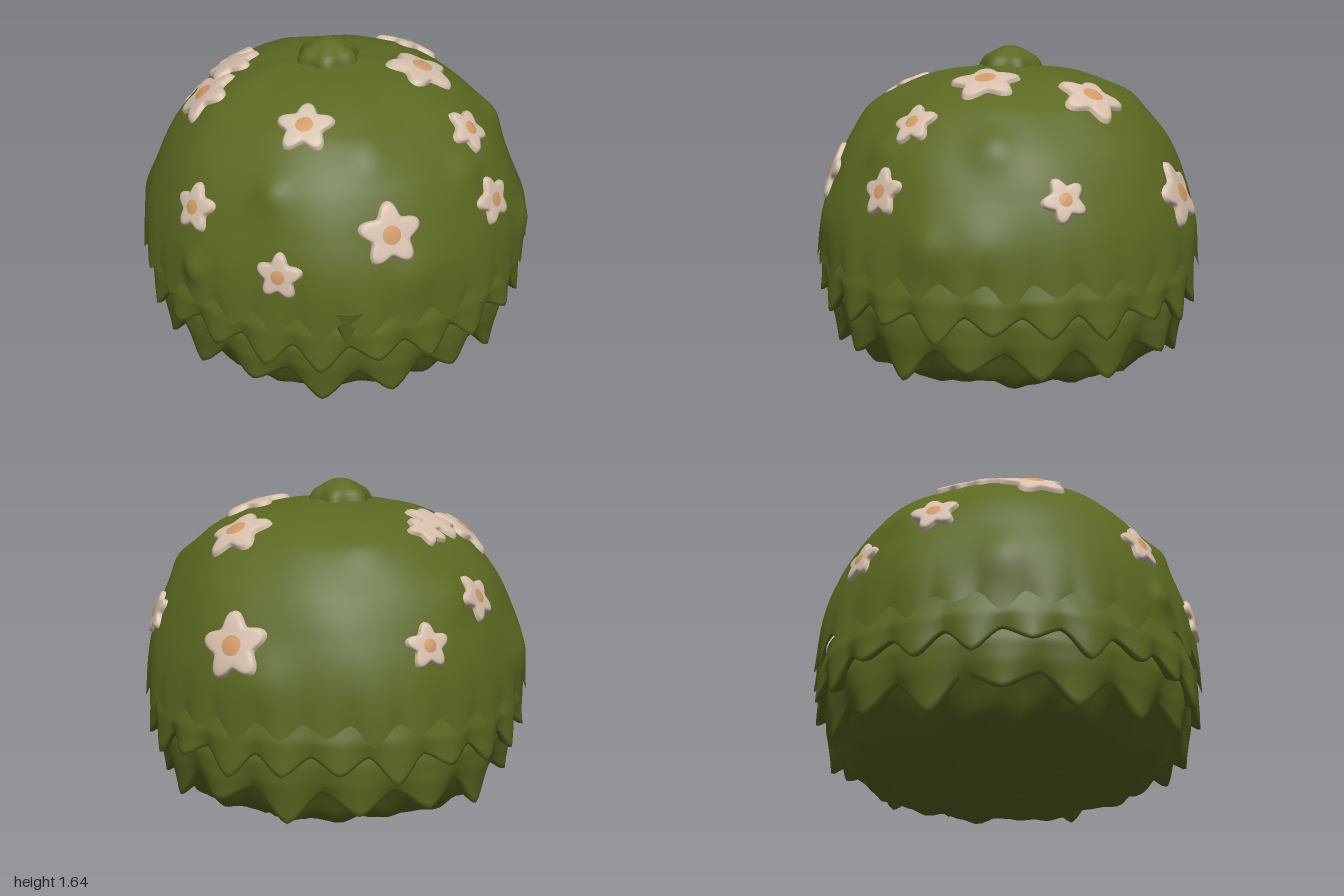
import * as THREE from 'three';

const ORIGIN = new THREE.Vector3(0, 0.6, 0); // the dome is nearly a sphere around this point
const TAU = Math.PI * 2;

// Piecewise linear lookup: table of [key, value], keys ascending
function lookup(table, k) {
  for (let i = 1; i < table.length; i++) {
    const [k0, v0] = table[i - 1], [k1, v1] = table[i];
    if (k <= k1) return v0 + (v1 - v0) * Math.min(1, Math.max(0, (k - k0) / (k1 - k0)));
  }
  return table[table.length - 1][1];
}

// Surface closed around u, running from the top or centre (v = 0) outward (v = 1)
function ringSurface(nu, nv, point) {
  const pos = [], index = [];
  for (let j = 0; j <= nv; j++)
    for (let i = 0; i < nu; i++) pos.push(...point((i / nu) * TAU, j / nv).toArray());
  for (let j = 0; j < nv; j++)
    for (let i = 0; i < nu; i++) {
      const n = (i + 1) % nu;
      const a = j * nu + i, b = a + nu, c = (j + 1) * nu + n, d = j * nu + n;
      index.push(a, b, d, b, c, d);
    }
  const g = new THREE.BufferGeometry();
  g.setAttribute('position', new THREE.Float32BufferAttribute(pos, 3));
  g.setIndex(index);
  g.computeVertexNormals();
  return g;
}

// Leaf teeth along a hem: shape is 1 at a tip and 0 in a notch, size varies per tooth
function tooth(angle, count, seed) {
  const s = (angle / TAU) * count + 0.5;
  const k = Math.floor(s) % count;
  const tri = 1 - Math.abs(2 * (s - Math.floor(s)) - 1);
  const wave = 0.5 - 0.5 * Math.cos(Math.PI * tri);
  return { shape: 0.4 * tri + 0.6 * wave, size: 0.85 + 0.3 * Math.sin(k * 2.4 + seed) };
}

// Soft lumps on the dome: [x, y, z, width, height]
const BUMPS = [
  [-0.63, 0.74, 0.75, 0.07, 0.03], [-0.25, 1.18, 0.8, 0.08, 0.025], [0.2, 1.32, 0.68, 0.11, 0.02],
  [0.8, 1.22, -0.1, 0.1, 0.03], [0.96, 0.76, 0.17, 0.1, 0.025], [-0.98, 0.8, 0, 0.14, 0.03],
  [0.98, 0.78, -0.1, 0.13, 0.02], [0.7, 1.2, 0.5, 0.1, 0.02], [-0.3, 1.4, -0.6, 0.12, 0.02],
  [-0.7, 1.15, -0.45, 0.1, 0.02], [0.1, 0.8, -1, 0.14, 0.02], [0.45, 0.8, 0.85, 0.12, 0.02],
].map(([x, y, z, w, h]) => ({ dir: new THREE.Vector3(x, y, z).sub(ORIGIN).normalize(), w, h }));

// Dome radius by elevation angle
const DOME = [[-0.1, 0.975], [0, 0.978], [0.2, 0.985], [0.41, 0.99], [0.62, 1.008], [0.88, 1.015],
  [1.15, 0.985], [1.36, 0.955], [1.57, 0.955]];

// Point on the dome in a given direction from ORIGIN, lifted by some height
function onDome(dir, lift = 0) {
  const elev = Math.asin(THREE.MathUtils.clamp(dir.y, -1, 1));
  const th = Math.atan2(dir.x, dir.z);
  let r = lookup(DOME, elev);
  r += Math.cos(elev) * (0.008 * Math.sin(5 * th + 1) + 0.006 * Math.sin(9 * th + 5 * elev));
  for (const b of BUMPS) r += b.h * Math.exp(-b.dir.distanceToSquared(dir) / (b.w * b.w));
  return dir.clone().multiplyScalar(r + lift).add(ORIGIN);
}

function domeGeometry() {
  return ringSurface(336, 60, (th, v) => {
    const t = tooth(th, 28, 1);
    const end = 0.015 - 0.095 * t.shape * t.size;
    const e = Math.PI / 2 + (end - Math.PI / 2) * v;
    const dir = new THREE.Vector3(Math.sin(th) * Math.cos(e), Math.sin(e), Math.cos(th) * Math.cos(e));
    return onDome(dir, 0.022 * t.shape * Math.pow(v, 14));
  });
}

// A hanging skirt of leaves below the dome, its hem folded back inward
function skirtGeometry({ count, top, hem, depth, seed, profile, bulge }) {
  return ringSurface(count * 12, 18, (th, v) => {
    const t = tooth(th, count, seed);
    const out = Math.min(1, v / 0.8), fold = Math.max(0, (v - 0.8) / 0.2);
    const y = top + (hem - depth * t.shape * t.size - top) * out;
    const r = lookup(profile, y) + bulge * (t.shape - 0.35) * out * out + 0.008 * Math.sin(5 * th + 1) - 0.09 * fold;
    return new THREE.Vector3(Math.sin(th) * r, y + 0.05 * fold, Math.cos(th) * r);
  });
}

// Rough, slightly sagging underside
function undersideGeometry() {
  const profile = [[0, 0.025], [0.4, 0.045], [0.7, 0.065], [0.78, 0.11], [0.88, 0.28]];
  return ringSurface(120, 32, (th, v) => {
    const r = 0.88 * (1 - v);
    const x = Math.sin(th) * r, z = Math.cos(th) * r;
    const rough = Math.sin(17 * x + 3 * z) * Math.sin(15 * z - 4 * x + 1) + 0.6 * Math.sin(31 * x + 2) * Math.sin(27 * z + 9 * x);
    return new THREE.Vector3(x, Math.max(0, lookup(profile, r) + 0.02 * rough), z);
  });
}

// Small lobed bud on the crown
function budGeometry() {
  const profile = [[0, 1.645], [0.25, 1.64], [0.5, 1.62], [0.8, 1.59], [0.92, 1.56], [1, 1.5]];
  return ringSurface(60, 14, (th, v) => {
    const r = 0.175 * v * (0.93 + 0.07 * Math.cos(6 * th) * v);
    return new THREE.Vector3(Math.sin(th) * r - 0.03, lookup(profile, v), Math.cos(th) * r);
  });
}

// Flowers: [x, y, z, radius, turn, has centre]
const FLOWERS = [
  [-0.63, 1.03, 0.67, 0.13, 0.1, true], [-0.1, 1.43, 0.58, 0.15, 0.1, true],
  [0.32, 1.02, 0.86, 0.165, 0, true], [-0.2, 0.83, 0.96, 0.125, 0, true],
  [0.66, 1.3, 0.31, 0.125, 0.3, true], [0.81, 1.0, 0.44, 0.13, 0.1, true],
  [0.82, 1.0, -0.45, 0.12, 0.4, true], [0.43, 1.5, 0.02, 0.19, 0.3, true],
  [0.36, 1.43, -0.49, 0.18, 0.5, true], [0.25, 0.96, -0.93, 0.18, 0.2, true],
  [-0.8, 1.13, -0.33, 0.13, 0.3, true], [-0.64, 0.96, -0.7, 0.12, 0, true],
  [-0.63, 1.38, 0.15, 0.18, 0.2, true], [-0.53, 1.46, -0.08, 0.155, 0.5, false],
  [-0.54, 1.45, -0.26, 0.115, 0.1, false],
];

// Patch draped over the dome: outline gives the radius per angle, height the lift per ring
function drapedPatch(normal, turn, nu, nv, outline, height) {
  const right = new THREE.Vector3(0, 1, 0).cross(normal).normalize();
  const up = normal.clone().cross(right);
  return ringSurface(nu, nv, (a, v) => {
    const r = outline(a) * v, ang = a + Math.PI / 2 + turn;
    const dir = normal.clone().addScaledVector(right, r * Math.cos(ang)).addScaledVector(up, r * Math.sin(ang));
    return onDome(dir.normalize(), height(v));
  });
}

function makeFlower([x, y, z, radius, turn, hasCentre], petalMat, centreMat) {
  const flower = new THREE.Group();
  flower.name = 'flower';
  const normal = new THREE.Vector3(x, y, z).sub(ORIGIN).normalize();
  const outline = a => radius * (0.82 + 0.18 * Math.cos(5 * a));
  const petals = new THREE.Mesh(drapedPatch(normal, turn, 60, 12, outline,
    v => -0.01 + 0.035 * Math.sqrt(1 - Math.pow(v, 10))), petalMat);
  petals.name = 'petals';
  flower.add(petals);
  if (hasCentre) {
    const centre = new THREE.Mesh(drapedPatch(normal, turn, 20, 3, () => radius * 0.27,
      v => 0.031 - 0.003 * v * v), centreMat);
    centre.name = 'flowerCentre';
    flower.add(centre);
  }
  return flower;
}

export function createModel() {
  const leaf = new THREE.MeshStandardMaterial({ color: 0x5b6921, side: THREE.DoubleSide });
  leaf.name = 'leafGreen';
  const petal = new THREE.MeshStandardMaterial({ color: 0xd6c0ad });
  petal.name = 'petalCream';
  const centre = new THREE.MeshStandardMaterial({ color: 0xd09a66 });
  centre.name = 'centreOrange';

  const bush = new THREE.Group();
  bush.name = 'floweringBush';
  const add = (name, geometry) => {
    const mesh = new THREE.Mesh(geometry, leaf);
    mesh.name = name;
    bush.add(mesh);
    return mesh;
  };

  add('dome', domeGeometry());
  add('middleLeafSkirt', skirtGeometry({
    count: 22, top: 0.66, hem: 0.44, depth: 0.12, seed: 2, bulge: 0.05,
    profile: [[0.25, 0.93], [0.4, 0.955], [0.52, 0.965], [0.66, 0.93]],
  }));
  add('lowerLeafSkirt', skirtGeometry({
    count: 16, top: 0.5, hem: 0.25, depth: 0.15, seed: 0.7, bulge: 0.07,
    profile: [[0.05, 0.83], [0.15, 0.86], [0.3, 0.91], [0.4, 0.925], [0.5, 0.91]],
  }));
  add('underside', undersideGeometry());
  add('crownBud', budGeometry());

  // Single leaf poking out at the front
  const stray = add('strayLeaf', new THREE.ConeGeometry(0.085, 0.19, 14));
  stray.scale.z = 0.35;
  stray.position.set(0.12, 0.57, 0.965);
  stray.rotation.set(0.05, 0, Math.PI);

  for (const f of FLOWERS) bush.add(makeFlower(f, petal, centre));
  return bush;
}
